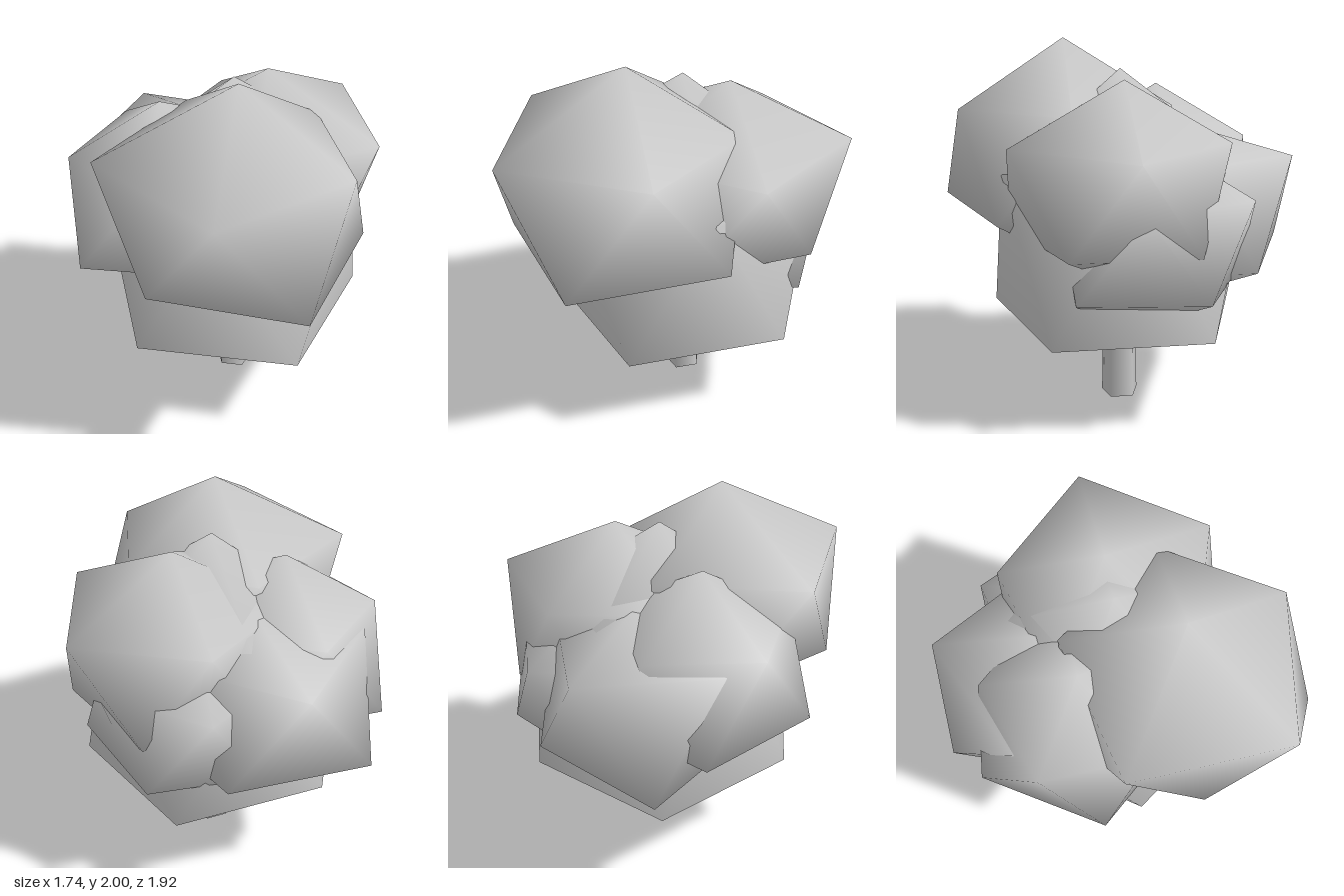
import * as THREE from 'three';

const STEP = Math.PI * 0.4;

// Twelve-cornered leaf clump: two poles and two staggered five-corner rings.
// heights = [top, upper ring, lower ring, bottom]; without a bottom it stays open.
function clumpGeometry({ x, z, heights, turn = 0, upper, lower }) {
  const [top, upperY, lowerY, bottom] = heights;
  const pos = [x, top, z];
  const ring = (radii, y, start) => radii.forEach((r, i) => {
    const a = start + i * STEP;
    pos.push(x + r * Math.cos(a), y, z + r * Math.sin(a));
  });
  const phase = THREE.MathUtils.degToRad(turn);
  ring(upper, upperY, phase);
  ring(lower, lowerY, phase + STEP / 2);
  if (bottom !== undefined) pos.push(x, bottom, z);

  const index = [];
  for (let i = 0; i < 5; i++) {
    const j = (i + 1) % 5;
    const u = 1 + i, u2 = 1 + j, l = 6 + i, l2 = 6 + j;
    index.push(0, u2, u, u, u2, l, l, u2, l2);
    if (bottom !== undefined) index.push(11, l, l2);
  }
  const geometry = new THREE.BufferGeometry();
  geometry.setAttribute('position', new THREE.Float32BufferAttribute(pos, 3));
  geometry.setIndex(index);
  geometry.computeVertexNormals();
  return geometry;
}

export function createModel() {
  const group = new THREE.Group();
  const grey = new THREE.MeshStandardMaterial({ color: 0xcccccc, side: THREE.DoubleSide });
  grey.name = 'plain grey';

  const add = (name, geometry) => {
    const mesh = new THREE.Mesh(geometry, grey);
    mesh.name = name;
    group.add(mesh);
    return mesh;
  };

  // Five-sided open trunk
  add('trunk', new THREE.CylinderGeometry(0.096, 0.106, 0.9, 5, 1, true, -Math.PI / 2))
    .position.y = 0.45;

  // Leaf clumps; the central one is open underneath
  const clumps = {
    centralFoliage: {
      x: 0, z: 0, heights: [1.86, 1.35, 0.52],
      upper: [0.7, 0.67, 0.7, 0.7, 0.7], lower: [0.71, 0.73, 0.73, 0.72, 0.71],
    },
    tallFrontFoliage: {
      x: -0.25, z: 0.28, heights: [2, 1.65, 1.1, 0.72],
      upper: [0.57, 0.6, 0.7, 0.7, 0.6], lower: [0.66, 0.71, 0.62, 0.6, 0.6],
    },
    sideFoliage: {
      x: 0.24, z: 0.01, heights: [1.83, 1.53, 1.02, 0.75],
      upper: [0.63, 0.63, 0.6, 0.6, 0.55], lower: [0.55, 0.62, 0.58, 0.55, 0.56],
    },
    lowSideFoliage: {
      x: 0.23, z: -0.14, heights: [1.53, 1.25, 0.78, 0.51], turn: -61,
      upper: [0.55, 0.54, 0.5, 0.5, 0.5], lower: [0.53, 0.6, 0.5, 0.5, 0.5],
    },
    backFoliage: {
      x: 0, z: -0.3, heights: [1.57, 1.4, 0.84, 0.56], turn: -76,
      upper: [0.63, 0.45, 0.6, 0.6, 0.6], lower: [0.57, 0.5, 0.6, 0.55, 0.715],
    },
    backCornerFoliage: {
      x: -0.29, z: -0.24, heights: [1.74, 1.46, 1.0, 0.72],
      upper: [0.55, 0.55, 0.48, 0.48, 0.5], lower: [0.55, 0.55, 0.58, 0.61, 0.55],
    },
  };
  for (const [name, spec] of Object.entries(clumps)) add(name, clumpGeometry(spec));

  return group;
}
